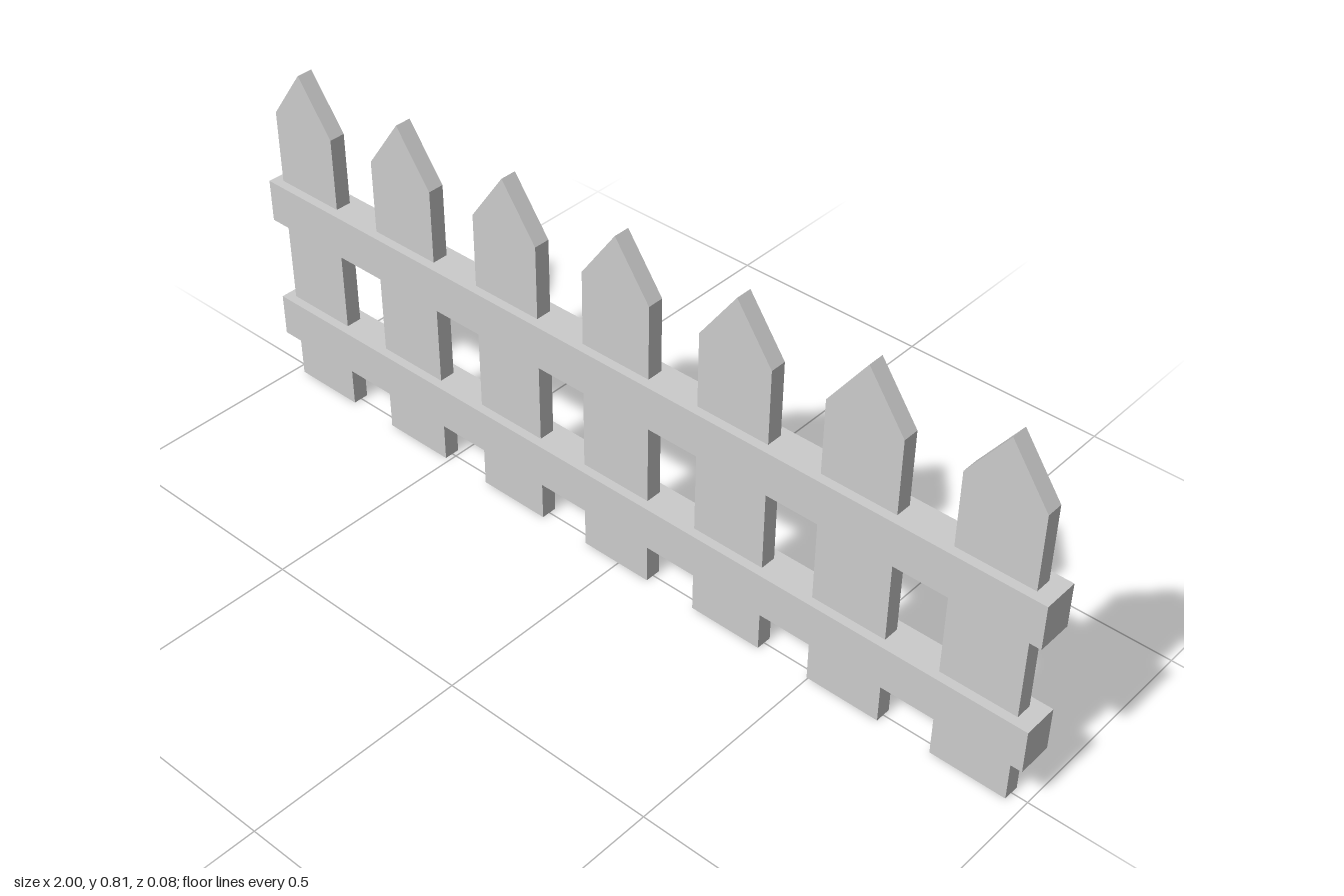
import * as THREE from 'three';

const material = new THREE.MeshStandardMaterial({ color: 0xcccccc, flatShading: true });

const PICKETS = 7, SPACING = 0.295, OFFSET_X = -0.007;
const WIDTH = 0.172, SHOULDER = 0.687, TIP = 0.807, THICKNESS = 0.037;

// Pointed board outline, extruded and centred on z
function picketGeometry() {
  const w = WIDTH / 2;
  const outline = new THREE.Shape([
    new THREE.Vector2(-w, 0),
    new THREE.Vector2(w, 0),
    new THREE.Vector2(w, SHOULDER),
    new THREE.Vector2(0, TIP),
    new THREE.Vector2(-w, SHOULDER),
  ]);
  return new THREE.ExtrudeGeometry(outline, { depth: THICKNESS, bevelEnabled: false })
    .translate(0, 0, -THICKNESS / 2);
}

export function createModel() {
  const fence = new THREE.Group();
  fence.name = 'picketFence';

  // Evenly spaced upright pickets
  const geometry = picketGeometry();
  for (let i = 0; i < PICKETS; i++) {
    const picket = new THREE.Mesh(geometry, material);
    picket.name = `picket${i + 1}`;
    picket.position.set(OFFSET_X + (i - (PICKETS - 1) / 2) * SPACING, 0, 0.001);
    fence.add(picket);
  }

  // Horizontal rails that the pickets pass through
  const railGeometry = new THREE.BoxGeometry(2, 0.1, 0.08);
  for (const [name, y] of [['lowerRail', 0.163], ['upperRail', 0.467]]) {
    const rail = new THREE.Mesh(railGeometry, material);
    rail.name = name;
    rail.position.y = y;
    fence.add(rail);
  }
  return fence;
}
